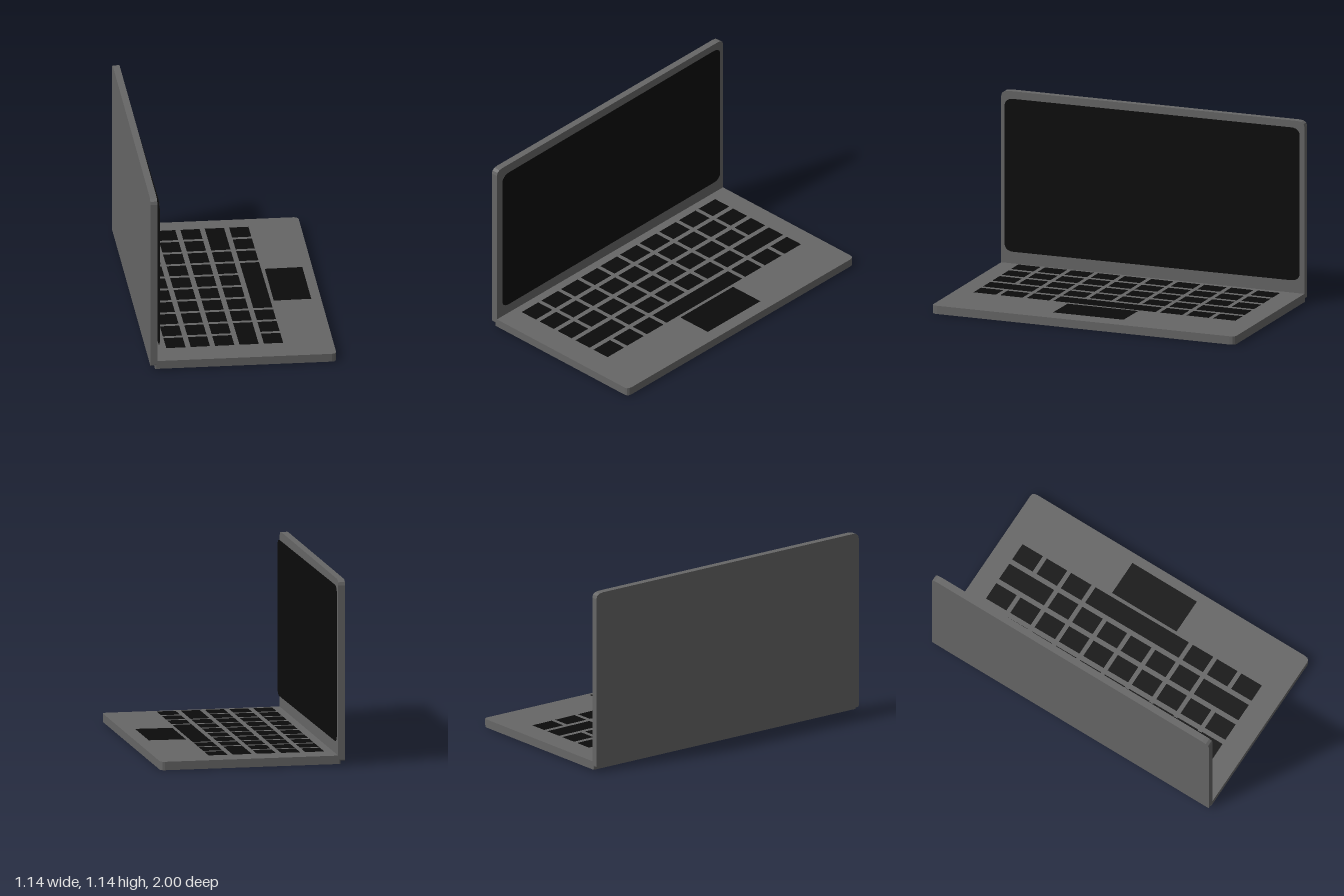
import * as THREE from 'three';

const grey = new THREE.MeshStandardMaterial({ color: 0x666666, flatShading: true });
const black = new THREE.MeshStandardMaterial({ color: 0x0b0b0b, side: THREE.DoubleSide });

// Centred rectangle; corners are [cut along u, cut along v] for the +v and -v ends
function plate(w, h, top, bottom) {
  const a = w / 2, b = h / 2, s = new THREE.Shape();
  s.moveTo(-a + bottom[0], -b);
  s.lineTo(a - bottom[0], -b);
  s.quadraticCurveTo(a, -b, a, -b + bottom[1]);
  s.lineTo(a, b - top[1]);
  s.quadraticCurveTo(a, b, a - top[0], b);
  s.lineTo(-a + top[0], b);
  s.quadraticCurveTo(-a, b, -a, b - top[1]);
  s.lineTo(-a, -b + bottom[1]);
  s.quadraticCurveTo(-a, -b, -a + bottom[0], -b);
  return s;
}

function slab(shape, depth, curveSegments) {
  const g = new THREE.ExtrudeGeometry(shape, { depth, bevelEnabled: false, curveSegments });
  return g.translate(0, 0, -depth / 2).rotateY(Math.PI / 2); // thickness along x, width along z
}

function add(parent, name, geometry, material) {
  const mesh = new THREE.Mesh(geometry, material);
  mesh.name = name;
  parent.add(mesh);
  return mesh;
}

export function createModel() {
  const model = new THREE.Group();
  model.name = 'laptop';

  // Keyboard base, leaning slightly down to its free edge
  const baseGeo = slab(plate(2, 1.112, [0.008, 0.008], [0.035, 0.028]), 0.052, 3);
  baseGeo.rotateZ(Math.PI / 2);
  const base = add(model, 'base', baseGeo, grey);
  base.position.set(0.013, 0.031, 0);
  base.rotation.z = -0.0085;

  // Upright lid with softened top corners
  const lid = add(model, 'lid', slab(plate(2, 1.113, [0.05, 0.035], [0.008, 0.008]), 0.042, 3), grey);
  lid.position.set(-0.55, 0.5865, 0);

  // Hinge bar behind the base
  const hinge = add(model, 'hinge', new THREE.CylinderGeometry(0.016, 0.016, 1.96, 8).rotateX(Math.PI / 2), grey);
  hinge.position.set(-0.537, 0.046, 0);

  // Display panel, standing just in front of the lid
  const display = add(model, 'display', slab(plate(1.94, 0.96, [0.06, 0.05], [0.06, 0.05]), 0.002, 6), black);
  display.position.set(-0.518, 0.62, 0);
  display.rotation.y = 0.007;

  // Keys: each row lists [first column, columns spanned]
  const keys = new THREE.Group();
  keys.name = 'keyboard';
  keys.position.y = 0.071;
  keys.rotation.set(-0.006, 0.006, -0.006);
  model.add(keys);
  const single = (from, to) => Array.from({ length: to - from + 1 }, (_, i) => [from + i, 1]);
  const plain = single(0, 9);
  const rows = [
    plain, plain, plain,
    [[0, 2], ...single(2, 7), [8, 2]],
    [...single(0, 2), [3, 4], ...single(7, 9)],
  ];
  const pitch = 0.175, gap = 0.028;
  rows.forEach((row, r) => row.forEach(([col, span]) => {
    const length = span * pitch - gap;
    const key = add(keys, 'key', new THREE.PlaneGeometry(0.118, length).rotateX(-Math.PI / 2), black);
    key.position.set(-0.403 + r * 0.1495, 0, -0.868 + col * pitch + length / 2);
  }));

  // Touchpad
  const pad = add(model, 'touchpad', new THREE.PlaneGeometry(0.23, 0.465).rotateX(-Math.PI / 2), black);
  pad.position.set(0.39, 0.069, -0.007);

  return model;
}
